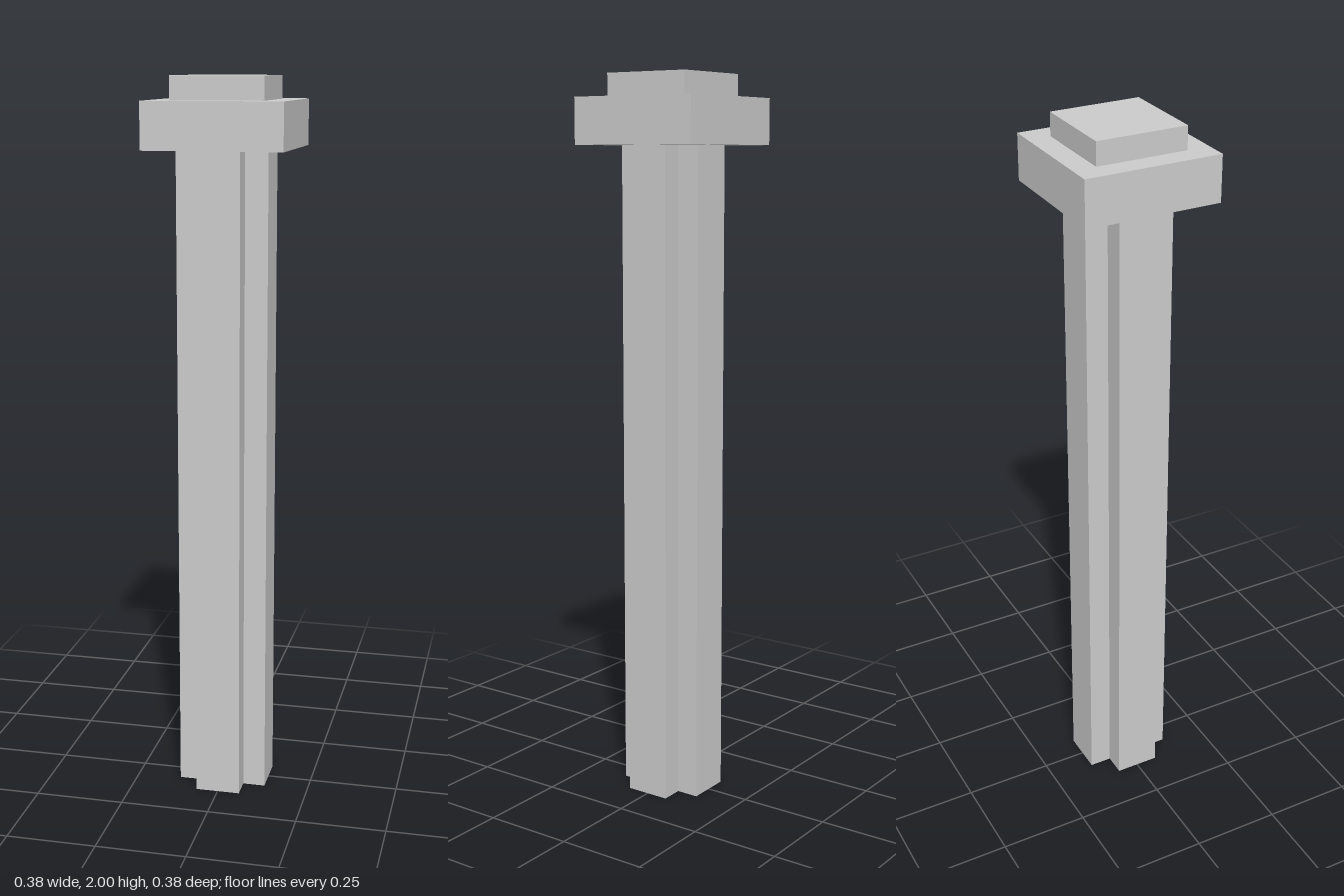
import * as THREE from 'three';

const U = 0.0625; // base module of the post

export function createModel() {
  const group = new THREE.Group();
  group.name = 'post';
  const material = new THREE.MeshStandardMaterial({ color: 0xcccccc, flatShading: true });

  const add = (name, geometry, y) => {
    const mesh = new THREE.Mesh(geometry, material);
    mesh.name = name;
    mesh.position.y = y;
    group.add(mesh);
  };

  // Cross-shaped shaft, extruded upwards: one notched corner turned four times
  const corner = [[2, -1], [2, 1], [1, 1]];
  const points = [];
  for (let i = 0; i < 4; i++) {
    for (const [x, y] of corner) {
      const p = new THREE.Vector2(x * U, y * U);
      for (let k = 0; k < i; k++) p.set(-p.y, p.x);
      points.push(p);
    }
  }
  const shaft = new THREE.ExtrudeGeometry(new THREE.Shape(points), { depth: 29 * U, bevelEnabled: false });
  shaft.rotateX(-Math.PI / 2);
  add('shaft', shaft, 0);

  // Wide square collar and the smaller block on top
  add('collar', new THREE.BoxGeometry(6 * U, 2 * U, 6 * U), 30 * U);
  add('topBlock', new THREE.BoxGeometry(4 * U, U, 4 * U), 31.5 * U);

  return group;
}
